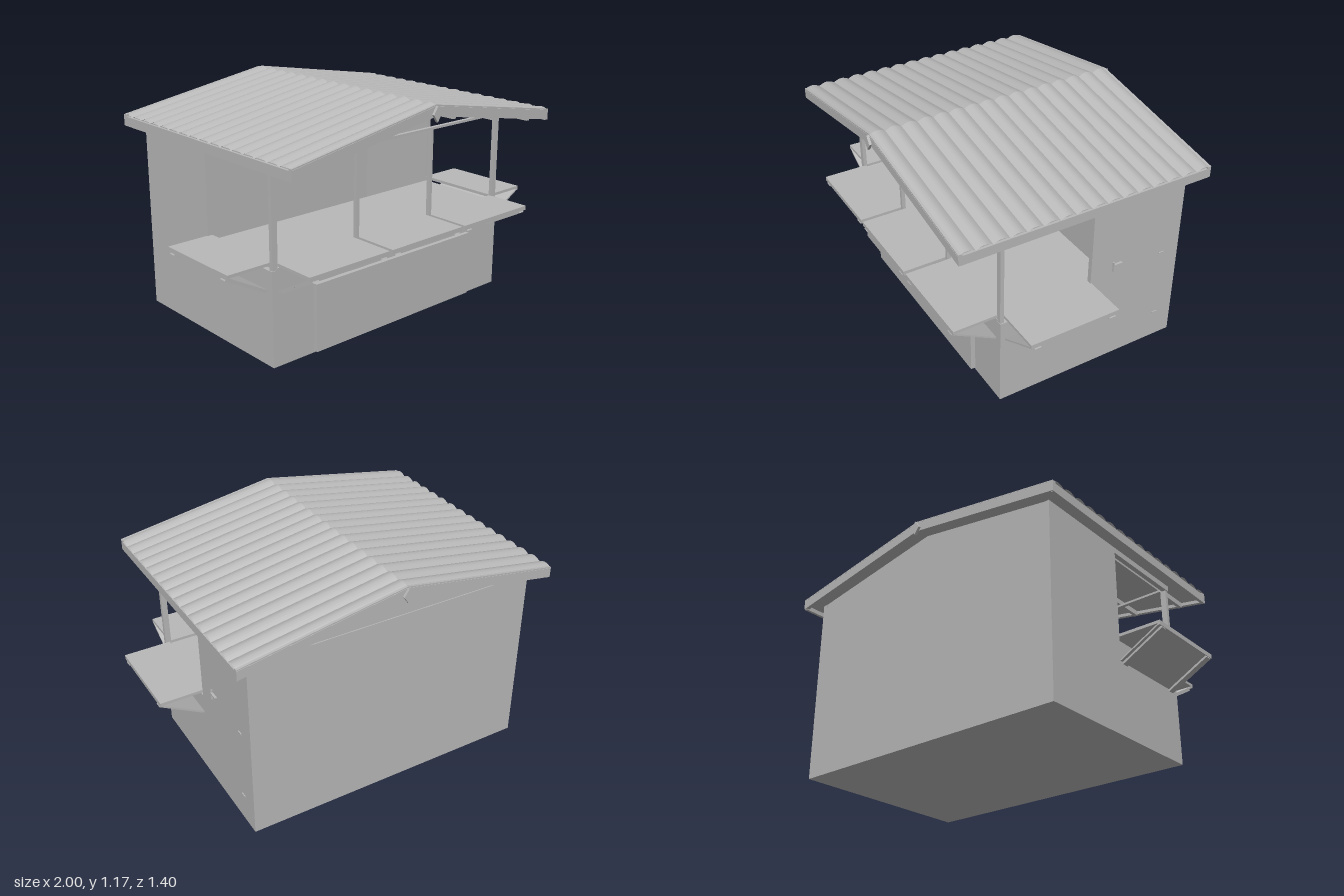
import * as THREE from 'three';

export function createModel() {
  const root = new THREE.Group();
  root.name = 'marketKiosk';
  const hut = new THREE.Group();
  hut.name = 'hut';
  hut.rotation.y = 0.036;
  hut.position.x = -0.006;
  root.add(hut);

  const grey = new THREE.MeshStandardMaterial({ color: 0xb8b8b8 });
  grey.name = 'paintedGrey';
  grey.side = THREE.DoubleSide;

  const add = (name, geo, parent = hut) => {
    const m = new THREE.Mesh(geo, grey);
    m.name = name;
    parent.add(m);
    return m;
  };
  // Box given by its extents
  const box = (name, x0, x1, y0, y1, z0, z1, parent = hut) => {
    const m = add(name, new THREE.BoxGeometry(x1 - x0, y1 - y0, z1 - z0), parent);
    m.position.set((x0 + x1) / 2, (y0 + y1) / 2, (z0 + z1) / 2);
    return m;
  };
  // Outline in the xy plane extruded from z0 to z1
  const extrude = (name, pts, z0, z1) => {
    const shape = new THREE.Shape(pts.map(p => new THREE.Vector2(p[0], p[1])));
    const g = new THREE.ExtrudeGeometry(shape, { depth: z1 - z0, bevelEnabled: false });
    return add(name, g.translate(0, 0, z0));
  };

  const W = 0.77, ZF = 0.422, ZB = -0.598, ZO = -0.075, T = 0.025;
  const SILL = 0.475, WALL = 0.965, SLOPE = 0.17;

  // Floor and walls
  box('floor', -W, W, 0, 0.02, ZB, ZF);
  box('frontWall', -W, W, 0, SILL, ZF - T, ZF);
  box('backWall', -W, W, 0, WALL, ZB, ZB + T);
  extrude('backGable', [[-W, WALL], [W, WALL], [W, 0.985], [0, 1.115], [-W, 0.985]], ZB + 0.005, ZB + T);
  for (const s of [-1, 1]) {
    const xa = Math.min(s * W, s * (W - T)), xb = Math.max(s * W, s * (W - T));
    box('sideWallLower', xa, xb, 0, SILL, ZO, ZF);
    box('sideWallRear', xa, xb, 0, 0.985, ZB, ZO);
    box('topPlate', xa, xb, 0.955, 0.985, ZO, ZF);
  }
  box('worktop', -W + T, W - T, SILL - 0.02, SILL + 0.01, ZO, ZF);
  box('frontPanel', -0.53, 0.53, 0.01, 0.355, ZF, ZF + 0.024);
  box('innerBackPanel', -0.53, 0.53, 0.55, 0.895, ZB + T, ZB + T + 0.006);

  // Posts and header
  for (const x of [-0.75, -0.25, 0.25, 0.75]) {
    const h = Math.abs(x) > 0.5 ? 0.015 : 0.009;
    box('post', x - h, x + h, SILL, 0.97, 0.4, 0.42);
  }
  box('header', -W, W, 0.958, 0.97, 0.4, 0.42);

  // Fold-out shelf: local +z points outwards, z = 0 at the wall
  const shelf = (x, z, turn, width) => {
    const g = new THREE.Group();
    g.name = 'foldOutShelf';
    g.position.set(x, 0, z);
    g.rotation.y = turn;
    hut.add(g);
    const h = width / 2, reach = 0.218, drop = 0.12;
    box('shelfBoard', -h, h, 0.495, 0.51, -0.025, reach, g);
    box('shelfLip', -h, h, 0.487, 0.51, reach - 0.01, reach + 0.003, g);
    const len = Math.hypot(reach, drop), tilt = -Math.atan2(drop, reach);
    const panel = add('slopingPanel', new THREE.BoxGeometry(width, 0.008, len), g);
    panel.position.set(0, 0.434, reach / 2);
    panel.rotation.x = tilt;
    for (const s of [-1, 1]) {
      const bar = add('shelfBrace', new THREE.BoxGeometry(0.035, 0.016, len), g);
      bar.position.set(s * (h - 0.035), 0.426, reach / 2);
      bar.rotation.x = tilt;
    }
  };
  for (const x of [-0.5, 0, 0.5]) shelf(x, ZF + 0.005, 0, 0.48);
  for (const s of [-1, 1]) shelf(s * W, 0.158, s * Math.PI / 2, 0.475);

  // Corrugated roof sheet
  const RW = 0.848, RZ = 0.671, WAVES = 16;
  const roof = new THREE.PlaneGeometry(RW * 2, RZ * 2, 2, WAVES * 8).rotateX(-Math.PI / 2);
  const p = roof.attributes.position;
  for (let i = 0; i < p.count; i++) {
    const wave = Math.abs(Math.sin((p.getZ(i) + RZ) / (2 * RZ) * WAVES * Math.PI));
    p.setY(i, 1.155 - SLOPE * Math.abs(p.getX(i)) + 0.014 * wave);
  }
  const sheet = roof.toNonIndexed();
  sheet.computeVertexNormals();
  add('roofSheet', sheet);

  // Roof deck and gable boards: V-shaped bands
  const band = (w, top, t) => [
    [-w, top - SLOPE * w], [-w, top - SLOPE * w - t], [0, top - t],
    [w, top - SLOPE * w - t], [w, top - SLOPE * w], [0, top]];
  extrude('roofDeck', band(0.835, 1.154, 0.03), -0.65, 0.65);
  for (const s of [-1, 1]) {
    const z = s * 0.66;
    extrude('gableBoard', band(RW, 1.162, 0.056), z - 0.01, z + 0.01);
    extrude('apexDiamond', [[0, 1.08], [0.026, 1.118], [0, 1.157], [-0.026, 1.118]], s * 0.676 - 0.007, s * 0.676 + 0.007);
    box('eaveBoard', s * 0.84 - 0.008, s * 0.84 + 0.008, 0.96, 1.008, -0.665, 0.665);
    // Purlins under the deck
    for (const x of [0.15, 0.43, 0.71]) {
      const y = 1.124 - SLOPE * x;
      box('purlin', s * x - 0.009, s * x + 0.009, y - 0.03, y + 0.004, ZB + T, 0.65);
    }
  }

  // Door fittings on the left-hand (+x) wall
  box('doorHandle', W, W + 0.012, 0.568, 0.576, -0.25, -0.2);
  box('handleStem', W, W + 0.01, 0.535, 0.59, -0.204, -0.199);
  for (const y of [0.15, 0.53, 0.9]) box('hinge', W, W + 0.005, y, y + 0.008, -0.51, -0.48);

  return root;
}
